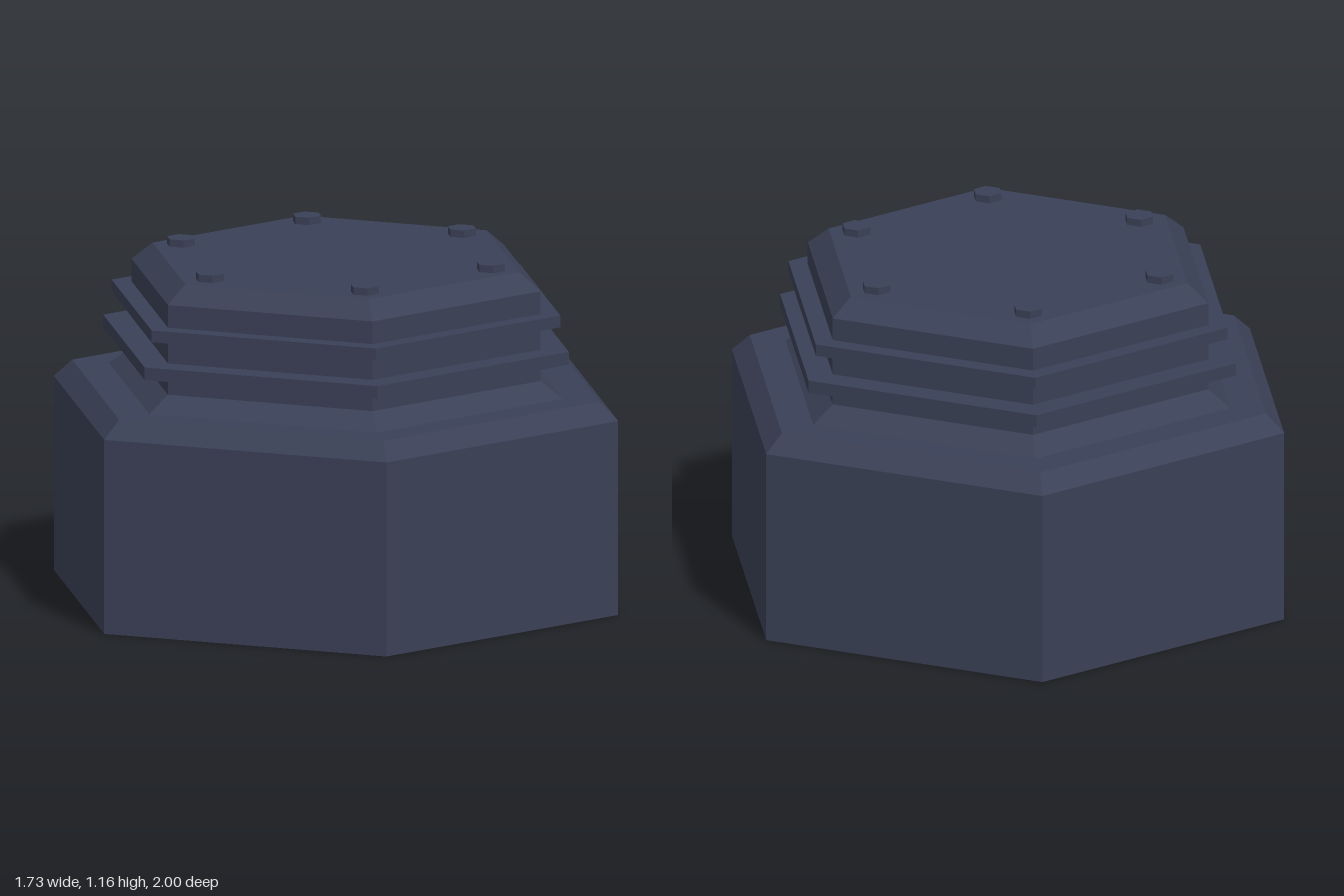
import * as THREE from 'three';

export function createModel() {
  const model = new THREE.Group();
  const metal = new THREE.MeshStandardMaterial({
    name: 'darkBlueMetal', color: 0x3a4056, flatShading: true, side: THREE.DoubleSide,
  });

  const add = (name, geometry, x = 0, y = 0, z = 0) => {
    const mesh = new THREE.Mesh(geometry, metal);
    mesh.name = name;
    mesh.position.set(x, y, z);
    model.add(mesh);
  };
  const lathe = (profile) =>
    new THREE.LatheGeometry(profile.map(([r, y]) => new THREE.Vector2(r, y)), 6);

  // Hollow six-sided base, open underneath, with a bevelled shoulder
  add('baseShell', lathe([[1, 0], [1, 0.66], [0.935, 0.72], [0.805, 0.72], [0.725, 0.775]]));

  // Narrower neck with a bevelled, closed top
  add('neck', lathe([[0.725, 0.775], [0.725, 1.08], [0.65, 1.14], [0, 1.14]]));

  // Thin flanges around the neck
  add('lowerFlange', new THREE.CylinderGeometry(0.825, 0.825, 0.043, 6), 0, 0.86, 0);
  add('upperFlange', new THREE.CylinderGeometry(0.795, 0.795, 0.04, 6), 0, 0.983, 0);

  // Ring of hexagonal bolts on the top
  for (let i = 0; i < 6; i++) {
    const a = (i * Math.PI) / 3;
    add('bolt' + (i + 1), new THREE.CylinderGeometry(0.05, 0.05, 0.035, 6),
      Math.sin(a) * 0.553, 1.1475, Math.cos(a) * 0.543);
  }
  return model;
}
